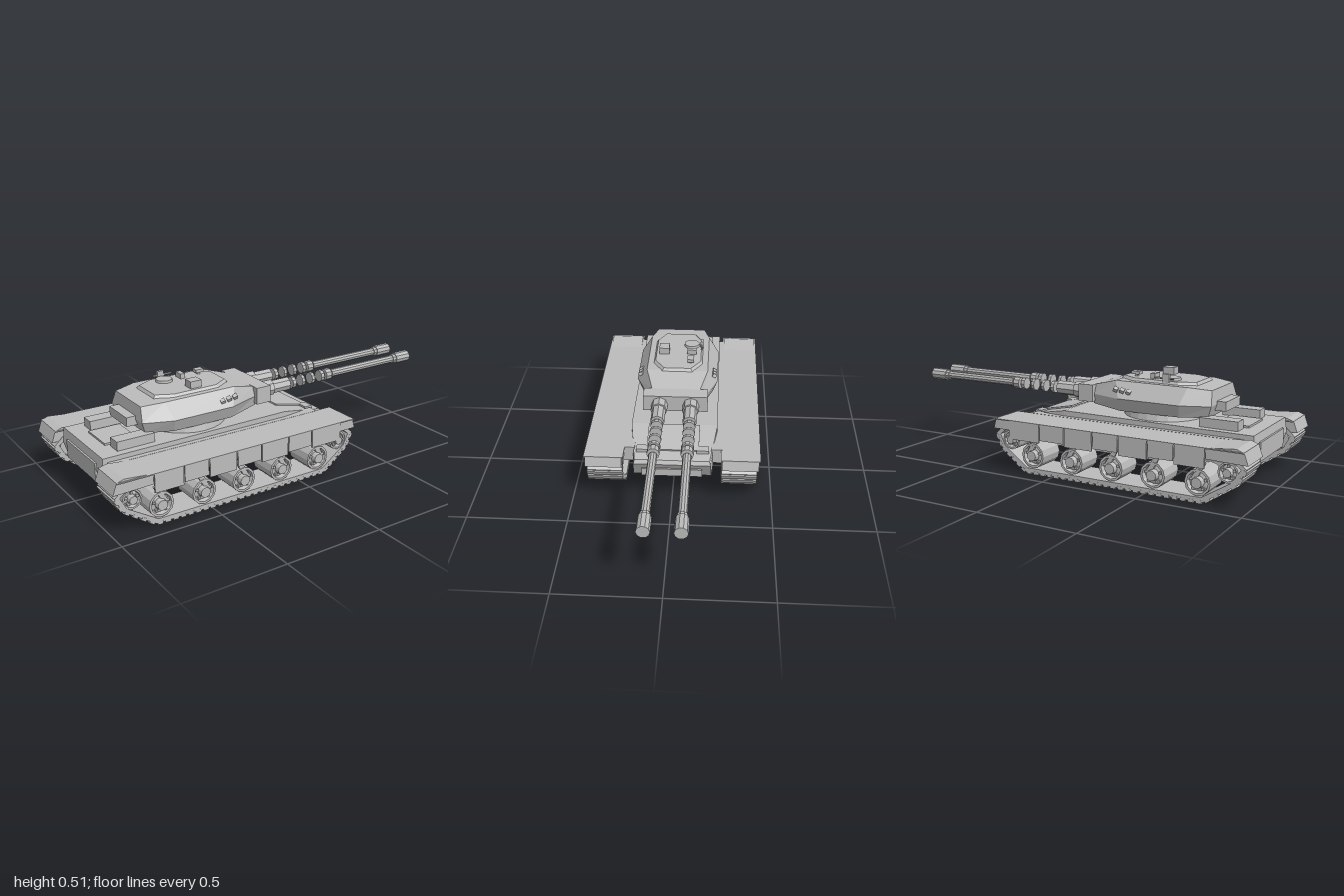
import * as THREE from 'three';

const paint = new THREE.MeshStandardMaterial({ color: 0xbcbcbc });
paint.name = 'plain grey';
paint.side = THREE.DoubleSide;

export function createModel() {
  const root = new THREE.Group();
  root.name = 'twinGunTank';

  function add(name, geo, x = 0, y = 0, z = 0, parent = root) {
    const m = new THREE.Mesh(geo, paint);
    m.name = name;
    m.position.set(x, y, z);
    parent.add(m);
    return m;
  }
  // Box given by its limits on each axis
  function box(name, x0, x1, y0, y1, z0, z1, parent = root) {
    return add(name, new THREE.BoxGeometry(x1 - x0, y1 - y0, Math.abs(z1 - z0)),
      (x0 + x1) / 2, (y0 + y1) / 2, (z0 + z1) / 2, parent);
  }
  const flat = (geo) => {
    const g = geo.index ? geo.toNonIndexed() : geo;
    g.computeVertexNormals();
    return g;
  };
  // Cylinder lying along x
  function tubeX(name, x0, x1, r, y, z, sides = 10, parent = root) {
    const g = flat(new THREE.CylinderGeometry(r, r, x1 - x0, sides)).rotateZ(Math.PI / 2);
    return add(name, g, (x0 + x1) / 2, y, z, parent);
  }
  // Faceted solid from stacked rings; each ring is the +z half, rear to front, as [x, y, z]
  function loft(rings) {
    const full = rings.map((r) => [...r, ...r.slice().reverse().map(([x, y, z]) => [x, y, -z])]);
    const n = full[0].length;
    const pos = [];
    const quad = (a, b, c, d) => pos.push(...a, ...b, ...c, ...a, ...c, ...d);
    for (let k = 0; k < full.length - 1; k++) {
      for (let i = 0; i < n; i++) {
        const j = (i + 1) % n;
        quad(full[k][i], full[k][j], full[k + 1][j], full[k + 1][i]);
      }
    }
    const bottom = full[0], top = full[full.length - 1];
    for (let i = 0; i < n / 2 - 1; i++) {
      quad(top[i], top[i + 1], top[n - 2 - i], top[n - 1 - i]);
      quad(bottom[n - 1 - i], bottom[n - 2 - i], bottom[i + 1], bottom[i]);
    }
    const g = new THREE.BufferGeometry();
    g.setAttribute('position', new THREE.Float32BufferAttribute(pos, 3));
    g.computeVertexNormals();
    return g;
  }

  // Hull with sloped nose and glacis
  add('hull', loft([
    [[-0.86, 0.105, 0.2], [0, 0.105, 0.2], [0.19, 0.105, 0.2]],
    [[-0.93, 0.14, 0.2], [0, 0.14, 0.2], [0.27, 0.14, 0.195]],
    [[-0.95, 0.22, 0.22], [0.06, 0.22, 0.22], [0.31, 0.225, 0.19]],
    [[-0.94, 0.29, 0.22], [0.05, 0.295, 0.22], [0.3, 0.245, 0.185]],
  ]));
  box('nosePlate', 0.27, 0.305, 0.155, 0.195, -0.15, 0.15);
  box('rearPlate', -0.955, -0.93, 0.16, 0.25, -0.16, 0.16);
  box('engineDeck', -0.87, -0.71, 0.28, 0.3, -0.09, 0.09);
  const hatch = box('glacisPlate', 0.06, 0.24, 0.277, 0.285, -0.13, 0.13);
  hatch.rotation.z = -0.2;

  // Closed track outline and inner opening
  const outer = [[-0.79, 0.014], [0.15, 0.014], [0.29, 0.12], [0.322, 0.19], [0.27, 0.24],
    [-0.93, 0.24], [-0.985, 0.19], [-0.95, 0.12]].map((p) => new THREE.Vector2(...p));
  const inner = [[-0.78, 0.036], [0.14, 0.036], [0.27, 0.13], [0.297, 0.188], [0.26, 0.218],
    [-0.92, 0.218], [-0.96, 0.188], [-0.93, 0.13]].map((p) => new THREE.Vector2(...p));
  const band = new THREE.Shape(outer);
  band.holes.push(new THREE.Path(inner));
  const bandGeo = new THREE.ExtrudeGeometry(band, { depth: 0.175, bevelEnabled: false })
    .translate(0, 0, -0.0875);

  // Dished road wheel, axis along z
  const wheelGeo = (r) => flat(new THREE.LatheGeometry([
    [0, -0.075], [r, -0.075], [r, 0.07], [r * 0.82, 0.07], [r * 0.72, 0.05],
    [r * 0.45, 0.055], [r * 0.4, 0.083], [0, 0.083],
  ].map((p) => new THREE.Vector2(...p)), 12)).rotateX(Math.PI / 2);

  for (const s of [1, -1]) {
    const side = new THREE.Group();
    side.name = s > 0 ? 'leftRunningGear' : 'rightRunningGear';
    root.add(side);
    add('trackBand', bandGeo, 0, 0, s * 0.332, side);

    // Tread lugs on the lower run and both ends
    const lug = new THREE.BoxGeometry(0.026, 0.016, 0.176);
    [[7, 0, 4], [0, 1, 24], [1, 2, 5], [2, 3, 2], [6, 7, 2]].forEach(([a, b, count]) => {
      const p = outer[a], q = outer[b];
      for (let i = 0; i < count; i++) {
        const c = p.clone().lerp(q, (i + 0.5) / count);
        add('trackLug', lug, c.x, Math.max(c.y, 0.008), s * 0.332, side)
          .rotation.z = Math.atan2(q.y - p.y, q.x - p.x);
      }
    });

    // Wheels with hub bolts and swing arms
    const wheels = [-0.76, -0.54, -0.325, -0.11, 0.11].map((x) => [x, 0.1, 0.062]);
    wheels.push([-0.9, 0.165, 0.048], [0.235, 0.165, 0.048]);
    for (const [x, y, r] of wheels) {
      const w = add('wheel', wheelGeo(r), x, y, s * 0.345, side);
      if (s < 0) w.rotation.y = Math.PI;
      for (let i = 0; i < 5; i++) {
        const a = i * Math.PI * 0.4 + 0.3;
        box('hubBolt', -0.006, 0.006, -0.006, 0.006, -0.008, 0.008, side)
          .position.set(x + Math.cos(a) * r * 0.6, y + Math.sin(a) * r * 0.6, s * 0.402);
      }
    }
    for (const [x, y] of wheels.slice(0, 5)) {
      const arm = box('swingArm', x - 0.012, x + 0.012, y, y + 0.1, s * 0.4, s * 0.412, side);
      arm.rotation.z = 0.5;
    }

    // Fender, skirt panels, mudguards and the step joining the hull
    box('fender', -0.975, 0.32, 0.262, 0.267, s * 0.24, s * 0.435, side);
    box('sponson', -0.92, 0.23, 0.19, 0.268, s * 0.19, s * 0.246, side);
    const seams = [-0.8, -0.65, -0.52, -0.37, -0.235, -0.08, 0.06, 0.24];
    for (let i = 0; i < seams.length - 1; i++) {
      box('skirtPanel', seams[i] + 0.003, seams[i + 1] - 0.003, i % 2 ? 0.185 : 0.172, 0.265,
        s * 0.424, s * 0.432, side);
    }
    const guard = (name, pts) => add(name, new THREE.ExtrudeGeometry(
      new THREE.Shape(pts.map((p) => new THREE.Vector2(...p))),
      { depth: 0.18, bevelEnabled: false }).translate(0, 0, -0.09), 0, 0, s * 0.337, side);
    guard('frontMudguard', [[0.23, 0.215], [0.332, 0.215], [0.318, 0.265], [0.24, 0.265]]);
    guard('rearMudguard', [[-0.995, 0.21], [-0.8, 0.215], [-0.8, 0.265], [-0.94, 0.278], [-0.975, 0.265]]);

    // Deck boxes and headlights
    box('deckBox', -0.85, -0.66, 0.29, 0.335, s * 0.11, s * 0.18);
    box('headlight', 0.21, 0.25, 0.235, 0.272, s * 0.12, s * 0.18);
  }

  // Turret on its ring
  add('turretRing', flat(new THREE.CylinderGeometry(0.19, 0.2, 0.04, 24)), -0.4, 0.31, 0);
  add('turret', loft([
    [[-0.69, 0.328, 0.145], [-0.56, 0.325, 0.19], [-0.25, 0.322, 0.19], [-0.07, 0.33, 0.13]],
    [[-0.71, 0.385, 0.16], [-0.57, 0.385, 0.214], [-0.25, 0.385, 0.214], [-0.07, 0.38, 0.14]],
    [[-0.7, 0.455, 0.13], [-0.59, 0.464, 0.16], [-0.21, 0.464, 0.16], [-0.07, 0.425, 0.122]],
  ]));
  add('roofPlate', loft([
    [[-0.61, 0.462, 0.09], [-0.53, 0.462, 0.13], [-0.28, 0.462, 0.13], [-0.2, 0.462, 0.08]],
    [[-0.6, 0.477, 0.08], [-0.52, 0.477, 0.12], [-0.29, 0.477, 0.12], [-0.21, 0.477, 0.07]],
  ]));
  box('rearBustle', -0.755, -0.69, 0.355, 0.4, -0.09, 0.09);
  box('mantlet', -0.08, 0, 0.343, 0.428, -0.165, 0.165);

  // Roof fittings
  add('cupola', flat(new THREE.CylinderGeometry(0.04, 0.042, 0.012, 16)), -0.47, 0.483, -0.068);
  box('cupolaSight', -0.39, -0.365, 0.475, 0.502, -0.095, -0.045);
  box('roofSight', -0.42, -0.36, 0.475, 0.512, 0.052, 0.105);
  box('frontSight', -0.3, -0.255, 0.488, 0.504, -0.085, -0.05);
  box('frontSightPost', -0.285, -0.27, 0.46, 0.49, -0.075, -0.06);
  tubeX('roofGun', -0.5, -0.4, 0.005, 0.49, -0.122, 6);
  box('roofGunBody', -0.48, -0.445, 0.47, 0.512, -0.13, -0.115);

  // Smoke launchers on the turret cheeks
  for (const s of [1, -1]) {
    for (let i = 0; i < 3; i++) {
      const tube = box('smokeLauncher', -0.31 + i * 0.035, -0.288 + i * 0.035,
        0.41 + i * 0.004, 0.428 + i * 0.004, s * 0.185, s * 0.205);
      tube.rotation.set(s * 0.5, 0, 0.4);
    }
  }

  // Twin guns: sleeve, separated recoil rings, barrel and muzzle
  for (const s of [1, -1]) {
    const gun = new THREE.Group();
    gun.name = s > 0 ? 'leftGun' : 'rightGun';
    root.add(gun);
    const z = s * 0.08, y = 0.38;
    tubeX('gunCollar', -0.02, 0.06, 0.042, y, z, 8, gun);
    tubeX('gunSleeve', 0.05, 0.165, 0.035, y, z, 8, gun);
    for (const [a, b] of [[0.185, 0.205], [0.245, 0.262], [0.308, 0.326], [0.37, 0.39], [0.405, 0.44]]) {
      tubeX('recoilRing', a, b, 0.031, y, z, 10, gun);
    }
    tubeX('barrel', 0.452, 0.93, 0.021, y, z, 10, gun);
    tubeX('muzzleCollar', 0.885, 0.905, 0.026, y, z, 10, gun);
    tubeX('muzzle', 0.905, 1, 0.031, y, z, 10, gun);
  }
  return root;
}
